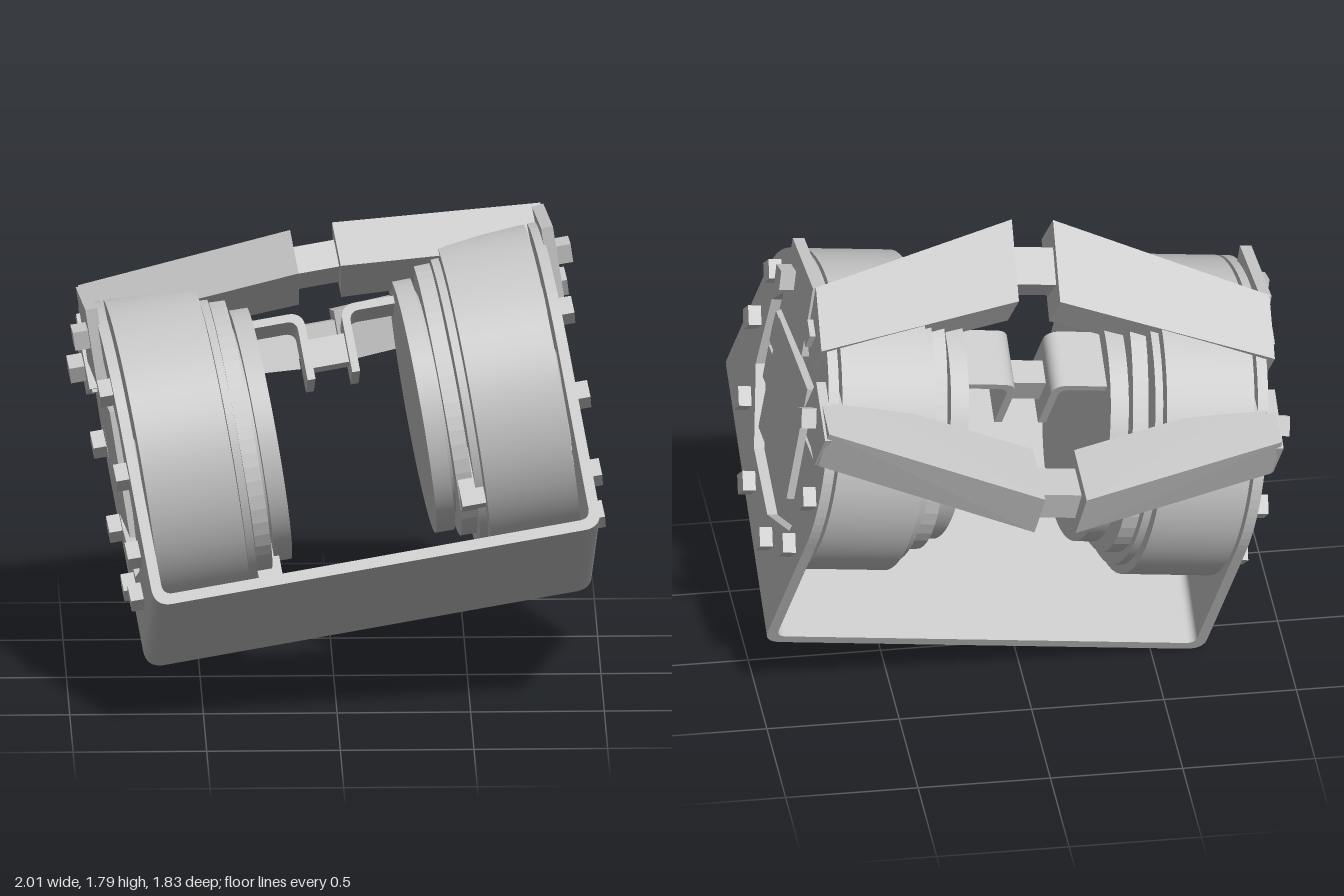
import * as THREE from 'three';
import { ConvexGeometry } from 'three/addons/geometries/ConvexGeometry.js';

export function createModel() {
  const model = new THREE.Group();
  model.name = 'twinMotorBracket';
  const body = new THREE.Group();
  body.name = 'tiltedAssembly';
  model.add(body);
  const grey = new THREE.MeshStandardMaterial({ color: 0xc4c4c4 });
  grey.name = 'plain grey';

  const add = (name, geometry, x = 0, y = 0, z = 0, parent = body) => {
    const mesh = new THREE.Mesh(geometry, grey);
    mesh.name = name;
    mesh.position.set(x, y, z);
    parent.add(mesh);
    return mesh;
  };
  // Solid between two cross-sections given as [y, z] corners
  const loft = (name, x0, section0, x1, section1) => add(name, new ConvexGeometry([
    ...section0.map(([y, z]) => new THREE.Vector3(x0, y, z)),
    ...section1.map(([y, z]) => new THREE.Vector3(x1, y, z)),
  ]));
  const extrude = (shape, depth) =>
    new THREE.ExtrudeGeometry(shape, { depth, bevelEnabled: false, curveSegments: 24 });

  const HALF = 0.853, WIDTH = 1.2, AXIS = 0.69, WALL = 0.04;

  // Base: shallow channel with rounded corners, open at the top
  const c = new THREE.Shape();
  const H = 0.1, R = 0.07, I = HALF - WALL;
  c.moveTo(-HALF, H);
  c.lineTo(-HALF, R);
  c.quadraticCurveTo(-HALF, 0, -HALF + R, 0);
  c.lineTo(HALF - R, 0);
  c.quadraticCurveTo(HALF, 0, HALF, R);
  c.lineTo(HALF, H);
  c.lineTo(I, H);
  c.lineTo(I, WALL + 0.04);
  c.quadraticCurveTo(I, WALL, I - 0.04, WALL);
  c.lineTo(-I + 0.04, WALL);
  c.quadraticCurveTo(-I, WALL, -I, WALL + 0.04);
  c.lineTo(-I, H);
  add('basePlate', extrude(c, WIDTH), 0, 0, -WIDTH / 2);

  // Side plate outline: straight below, semicircle above, faceted opening
  const plate = new THREE.Shape();
  plate.moveTo(-WIDTH / 2, H);
  plate.lineTo(WIDTH / 2, H);
  plate.lineTo(WIDTH / 2, AXIS);
  plate.absarc(0, AXIS, WIDTH / 2, 0, Math.PI, false);
  plate.lineTo(-WIDTH / 2, H);
  const opening = new THREE.Path();
  for (let i = 0; i < 9; i++) {
    const a = -i * Math.PI * 2 / 9 - Math.PI / 2 + 0.47;
    opening[i ? 'lineTo' : 'moveTo'](0.465 * Math.cos(a), AXIS + 0.465 * Math.sin(a));
  }
  opening.closePath();
  plate.holes.push(opening);

  // Lobed spacer ring outline
  const lobed = new THREE.Shape();
  for (let i = 0; i < 60; i++) {
    const a = i * Math.PI / 30, r = 0.515 + 0.03 * Math.cos(3 * a);
    lobed[i ? 'lineTo' : 'moveTo'](r * Math.cos(a), r * Math.sin(a));
  }
  lobed.closePath();

  for (const s of [1, -1]) {
    const side = s > 0 ? 'left' : 'right';
    const disc = (name, x0, x1, r) => {
      const m = add(side + name, new THREE.CylinderGeometry(r, r, x1 - x0, 64), s * (x0 + x1) / 2, AXIS, 0);
      m.rotation.z = Math.PI / 2;
    };
    const across = (name, shape, x0, x1, y) => {
      const m = add(side + name, extrude(shape, x1 - x0), s > 0 ? x0 : -x1, y, 0);
      m.rotation.y = Math.PI / 2;
    };
    across('SidePlate', plate, I, HALF, 0);

    // Motor: drum, rim, lobed spacer, inner disc and lug
    disc('MotorDrum', 0.46, 0.8, 0.6);
    disc('MotorRim', 0.425, 0.455, 0.565);
    disc('MotorCore', 0.3, 0.47, 0.42);
    across('LobedSpacer', lobed, 0.36, 0.42, AXIS);
    disc('InnerDisc', 0.275, 0.345, 0.48);
    const [lugX, lugY, lugZ] = s > 0 ? [0.41, 0.32, 0.33] : [0.37, 0.2, 0];
    add(side + 'MotorLug', new THREE.BoxGeometry(0.09, 0.22, 0.1), s * lugX, lugY, lugZ);

    // Cover in the plate opening, with cross bars behind it
    const cover = new THREE.Group();
    cover.name = side + 'Cover';
    cover.position.set(0, AXIS, 0);
    cover.rotation.x = 0.43;
    body.add(cover);
    add('coverPlate', new THREE.BoxGeometry(0.03, 0.49, 0.49), s * 0.85, 0, 0, cover);
    for (const y of [0.09, -0.07]) {
      add('crossBar', new THREE.BoxGeometry(0.03, 0.14, 0.86), s * 0.81, y, 0, cover);
    }

    // Ring of ten square bolts; those by the arms follow the ring
    for (let i = 0; i < 10; i++) {
      const a = i * Math.PI / 5;
      const x = i === 1 || i === 9 ? 0.915 : 0.87;
      const bolt = add(side + 'Bolt', new THREE.BoxGeometry(0.065, 0.075, 0.075),
        s * x, AXIS + 0.528 * Math.cos(a), 0.528 * Math.sin(a));
      bolt.rotation.x = i < 2 || i === 9 ? a : 1.215;
    }

    // Mounting tabs outside the plate
    const frontTab = [[1.19, 0.437], [1.34, 0.121], [0.92, 0.296], [1.08, -0.016]];
    const backTab = [[1.21, -0.21], [1.21, -0.47], [1.04, -0.47], [1.01, -0.21]];
    loft(side + 'FrontTab', s * 0.845, frontTab, s * 0.89, frontTab);
    loft(side + 'BackTab', s * 0.845, backTab, s * 0.89, backTab);

    // Arms running from the tabs to the middle
    loft(side + 'FrontArm',
      s * 0.88, [[1.346, 0.121], [1.297, -0.13], [1.13, -0.11], [1.18, 0.14]],
      s * 0.08, [[1.353, 0.433], [1.291, 0.11], [1.124, 0.13], [1.18, 0.455]]);
    loft(side + 'BackArm',
      s * 0.88, [[1.19, -0.21], [1.24, -0.46], [1.05, -0.48], [1.0, -0.23]],
      s * 0.08, [[1.19, -0.48], [1.25, -0.74], [1.06, -0.765], [1.0, -0.51]]);

    // Bent strap from the motor to the middle
    const strap = new THREE.Shape();
    strap.moveTo(s * 0.36, 1.1);
    strap.lineTo(s * 0.13, 1.1);
    strap.quadraticCurveTo(s * 0.07, 1.1, s * 0.07, 1.04);
    strap.lineTo(s * 0.07, 0.84);
    strap.lineTo(s * 0.1, 0.84);
    strap.lineTo(s * 0.1, 1.03);
    strap.quadraticCurveTo(s * 0.1, 1.07, s * 0.14, 1.07);
    strap.lineTo(s * 0.36, 1.07);
    strap.closePath();
    add(side + 'Strap', extrude(strap, 0.24), 0, 0, -0.14);
  }

  // Short links joining the arm tips
  const frontLink = add('frontLink', new THREE.BoxGeometry(0.26, 0.11, 0.15), 0, 1.235, 0.28);
  frontLink.rotation.x = -0.2;
  const backLink = add('backLink', new THREE.BoxGeometry(0.26, 0.12, 0.14), 0, 1.125, -0.63);
  backLink.rotation.x = 0.22;
  add('strapPin', new THREE.BoxGeometry(0.2, 0.11, 0.1), 0, 0.95, -0.02);

  // Tilt the whole assembly into its resting pose
  const X = new THREE.Vector3(0.985, 0.152, -0.082).normalize();
  const Y = new THREE.Vector3(0, 0.457, 0.889).cross(X).normalize();
  const Z = new THREE.Vector3().crossVectors(X, Y);
  body.quaternion.setFromRotationMatrix(new THREE.Matrix4().makeBasis(X, Y, Z));
  body.position.set(0.145, 0.397, 0.318);
  return model;
}
